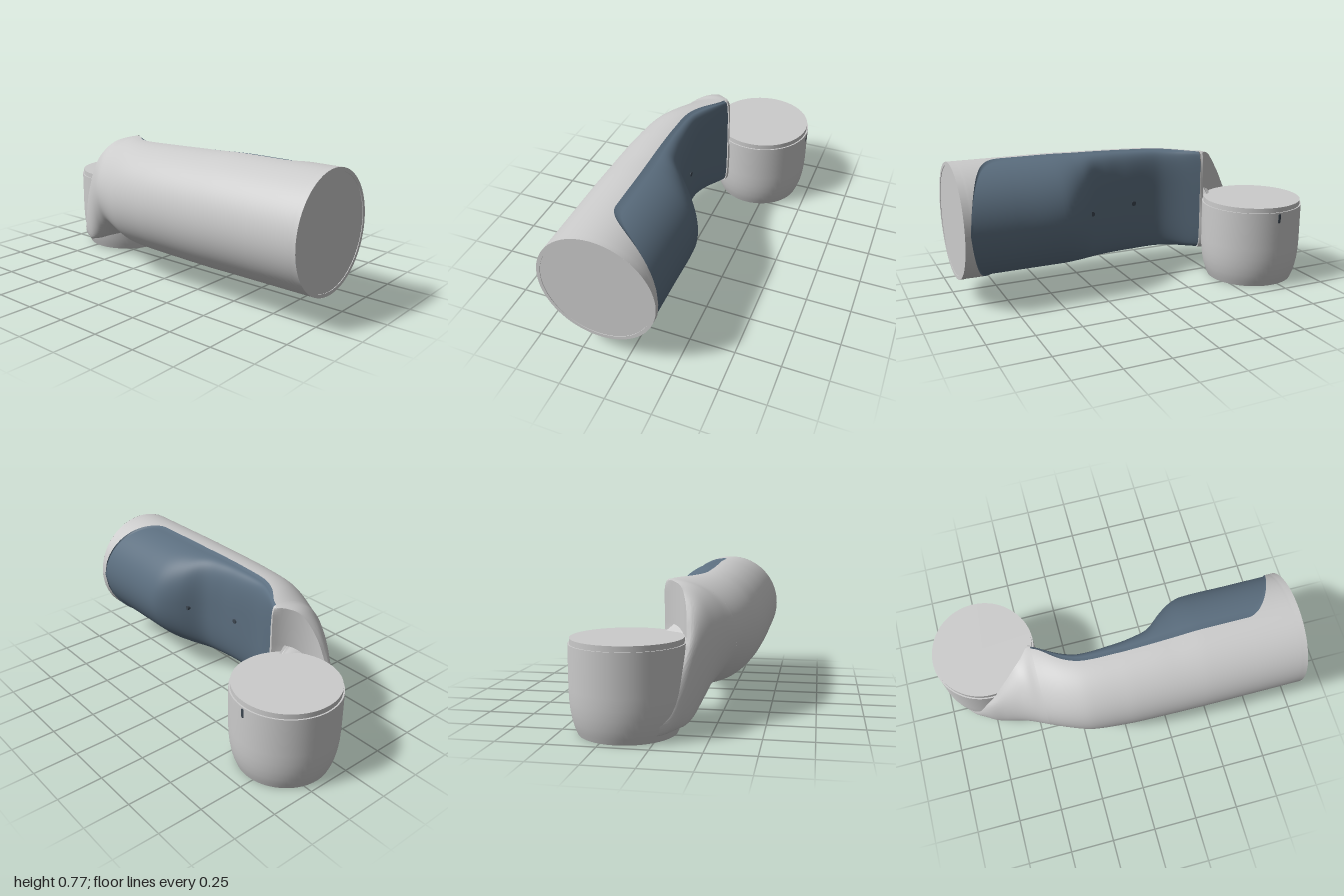
import * as THREE from 'three';
import { toCreasedNormals } from 'three/addons/utils/BufferGeometryUtils.js';

const grey = new THREE.MeshStandardMaterial({ color: 0xcccccc, side: THREE.DoubleSide });
const slate = new THREE.MeshStandardMaterial({ color: 0x5c6f80, side: THREE.DoubleSide });
const dark = new THREE.MeshStandardMaterial({ color: 0x3c4650, side: THREE.DoubleSide });

// Arm stations: [z, outer x, crown x, inner x, top y, bottom y, squareness of inner half]
const STATIONS = [
  [1, -.46, -.14, .18, .77, .13, 2],
  [.7, -.46, -.14, .18, .77, .13, 2],
  [.45, -.46, -.14, .18, .77, .13, 2],
  [.38, -.459, -.142, .157, .768, .13, 2.1],
  [.3, -.458, -.145, .1, .765, .132, 2.3],
  [.2, -.456, -.148, .005, .763, .135, 2.8],
  [.1, -.454, -.15, -.03, .76, .138, 3],
  [0, -.45, -.15, -.045, .757, .14, 3],
  [-.2, -.43, -.14, -.06, .75, .145, 3.5],
  [-.3, -.4, -.1, -.035, .745, .15, 4],
  [-.44, -.34, 0, .035, .737, .15, 4],
  [-.5, -.305, -.04, .07, .725, .135, 4],
  [-.55, -.275, -.06, .09, .7, .115, 4],
  [-.6, -.245, -.11, .1, .64, .1, 4],
  [-.65, -.215, -.13, .1, .56, .08, 4],
  [-.69, -.19, -.14, .1, .475, .07, 4],
  [-.75, -.155, -.12, .1, .36, .05, 4],
  [-.8, -.12, -.08, .1, .26, .04, 4],
  [-.86, -.075, -.03, .1, .15, .03, 4],
  [-.9, -.03, 0, .1, .12, .03, 4],
];
const CUP = { x: .17, z: -.71, r: .29 };
const COVER_FRONT = .97, COVER_BACK = -.44;

// Smooth cubic lookup of one column of the station table
function station(z, col) {
  const S = STATIONS, n = S.length;
  let i = 0;
  while (i < n - 2 && z < S[i + 1][0]) i++;
  const slope = k => {
    const a = S[Math.max(k - 1, 0)], b = S[Math.min(k + 1, n - 1)];
    return (b[col] - a[col]) / (b[0] - a[0]);
  };
  const w = S[i + 1][0] - S[i][0], t = (z - S[i][0]) / w, u = 1 - t;
  return S[i][col] * (1 + 2 * t) * u * u + slope(i) * w * t * u * u
    + S[i + 1][col] * t * t * (3 - 2 * t) - slope(i + 1) * w * t * t * u;
}

// Point on the arm's cross-section: round outside, squarer inside
function armPoint(z, angle, inset = 0) {
  const [outer, crown, inner, top, bottom, power] = [1, 2, 3, 4, 5, 6].map(c => station(z, c));
  const c = Math.cos(angle), s = Math.sin(angle);
  const e = c > 0 ? 2 / power : 1;
  const width = (c > 0 ? inner - crown : crown - outer) - inset;
  let x = crown + Math.sign(c) * width * Math.abs(c) ** e;
  const y = (top + bottom) / 2 + Math.sign(s) * ((top - bottom) / 2 - inset) * Math.abs(s) ** e;
  // above the cup, the wrist is cut to a wall around it
  const dz = z - CUP.z;
  if (z < COVER_BACK && y > .43 && Math.abs(dz) < CUP.r) {
    x = Math.min(x, CUP.x - Math.sqrt(CUP.r ** 2 - dz * dz));
  }
  return [x, y, z];
}

// Half-angle of the opening that the cover fills
function seamAngle(z) {
  if (z >= COVER_FRONT) return 0;
  const t = Math.max(0, (z - .72) / .25);
  return Math.PI / 2 * (1 - t * t) ** .7;
}

function loft(zs, cols, pointAt) {
  const pos = [], index = [];
  zs.forEach((z, i) => {
    for (let j = 0; j <= cols; j++) {
      pos.push(...pointAt(z, j / cols, j === 0 || j === cols));
      if (i && j) {
        const d = i * (cols + 1) + j, c = d - 1, b = d - cols - 1, a = b - 1;
        index.push(a, c, b, b, c, d);
      }
    }
  });
  const g = new THREE.BufferGeometry();
  g.setAttribute('position', new THREE.Float32BufferAttribute(pos, 3));
  g.setIndex(index);
  g.computeVertexNormals();
  return g;
}

const steps = (a, b, n) => Array.from({ length: n + 1 }, (_, i) => a + (b - a) * i / n);

export function createModel() {
  const model = new THREE.Group();
  const add = (name, geometry, material, parent = model) => {
    const m = new THREE.Mesh(geometry, material);
    m.name = name;
    parent.add(m);
    return m;
  };

  // Arm: outer shell, inset cover and the wrist that wraps the cup
  const nose = steps(COVER_FRONT, .72, 24), body = steps(.72, COVER_BACK, 50).slice(1);
  const coverRows = [...nose, ...body];
  add('armShell', loft([1, ...coverRows], 56, (z, t) => {
    const a = seamAngle(z);
    return armPoint(z, a + t * (2 * Math.PI - 2 * a));
  }), grey);
  add('armCover', loft(coverRows, 48, (z, t, edge) => {
    const a = seamAngle(z);
    return armPoint(z, a * (2 * t - 1), edge || z === COVER_FRONT ? 0 : .007);
  }), slate);
  add('wrist', toCreasedNormals(loft(steps(COVER_BACK - .0001, -.9, 36), 96,
    (z, t) => armPoint(z, t * 2 * Math.PI)), .6), grey);

  // Front end: narrow rim around a flat plate
  add('frontRim', new THREE.RingGeometry(.3, .32, 72), grey).position.set(-.14, .45, 1);
  const plate = add('frontPlate', new THREE.CylinderGeometry(.3, .3, .01, 72), grey);
  plate.rotation.x = Math.PI / 2;
  plate.position.set(-.14, .45, .992);

  // Two small pins in the cover
  for (const z of [.26, -.045]) {
    const pin = add('coverPin', new THREE.CylinderGeometry(.014, .014, .02, 16), dark);
    pin.rotation.z = Math.PI / 2;
    pin.position.set(station(z, 3) - .013, .45, z);
  }

  // Cup with lid, underside ring and side slot
  const cup = new THREE.Group();
  cup.name = 'cup';
  cup.position.set(CUP.x, 0, CUP.z);
  model.add(cup);
  const profile = [[.25, 0], [.262, .03], [.274, .07], [.283, .12], [.288, .17], [.29, .23], [.29, .447], [.28, .447]]
    .map(p => new THREE.Vector2(...p));
  add('cupBody', toCreasedNormals(new THREE.LatheGeometry(profile, 72), .6), grey, cup);
  add('cupLid', new THREE.CylinderGeometry(.282, .282, .035, 72), grey, cup).position.y = .4575;
  const ring = add('baseRing', new THREE.RingGeometry(.19, .25, 72), dark, cup);
  ring.rotation.x = Math.PI / 2;
  add('basePlate', new THREE.CylinderGeometry(.192, .192, .01, 72), grey, cup).position.y = .011;
  const slot = add('sideSlot', new THREE.CapsuleGeometry(.009, .038, 6, 12), dark, cup);
  slot.scale.x = .3;
  slot.position.set(.289, .412, 0);

  return model;
}
